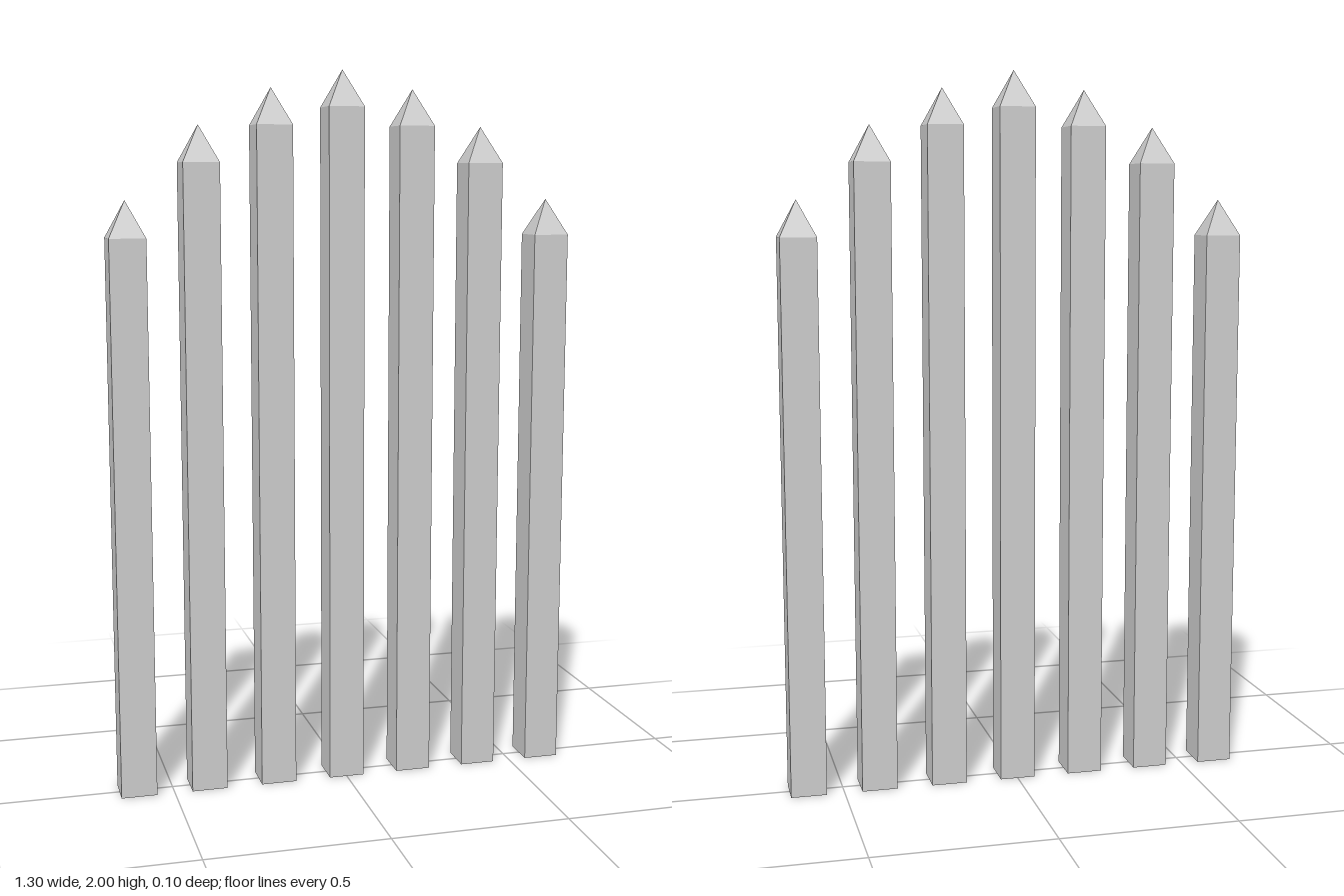
import * as THREE from 'three';

const WIDTH = 0.1;
const TIP_HEIGHT = 0.1;
const SPACING = 0.2;
// Shaft heights from the centre post outwards
const SHAFT_HEIGHTS = [1.9, 1.85, 1.75, 1.55];

export function createModel() {
  const model = new THREE.Group();
  model.name = 'picketFence';
  const material = new THREE.MeshStandardMaterial({ color: 0xcccccc, flatShading: true });

  // Four-sided pyramid tip, turned so its sides line up with the shaft
  const tipGeometry = new THREE.ConeGeometry(WIDTH * Math.SQRT1_2, TIP_HEIGHT, 4, 1, true);
  tipGeometry.rotateY(Math.PI / 4);
  tipGeometry.translate(0, TIP_HEIGHT / 2, 0);

  // Seven square posts, symmetric about the centre
  for (let i = -3; i <= 3; i++) {
    const height = SHAFT_HEIGHTS[Math.abs(i)];
    const post = new THREE.Group();
    post.name = `post${i + 4}`;
    post.position.x = i * SPACING;

    const shaft = new THREE.Mesh(new THREE.BoxGeometry(WIDTH, height, WIDTH), material);
    shaft.name = 'shaft';
    shaft.position.y = height / 2;

    const tip = new THREE.Mesh(tipGeometry, material);
    tip.name = 'pointedTip';
    tip.position.y = height;

    post.add(shaft, tip);
    model.add(post);
  }
  return model;
}
